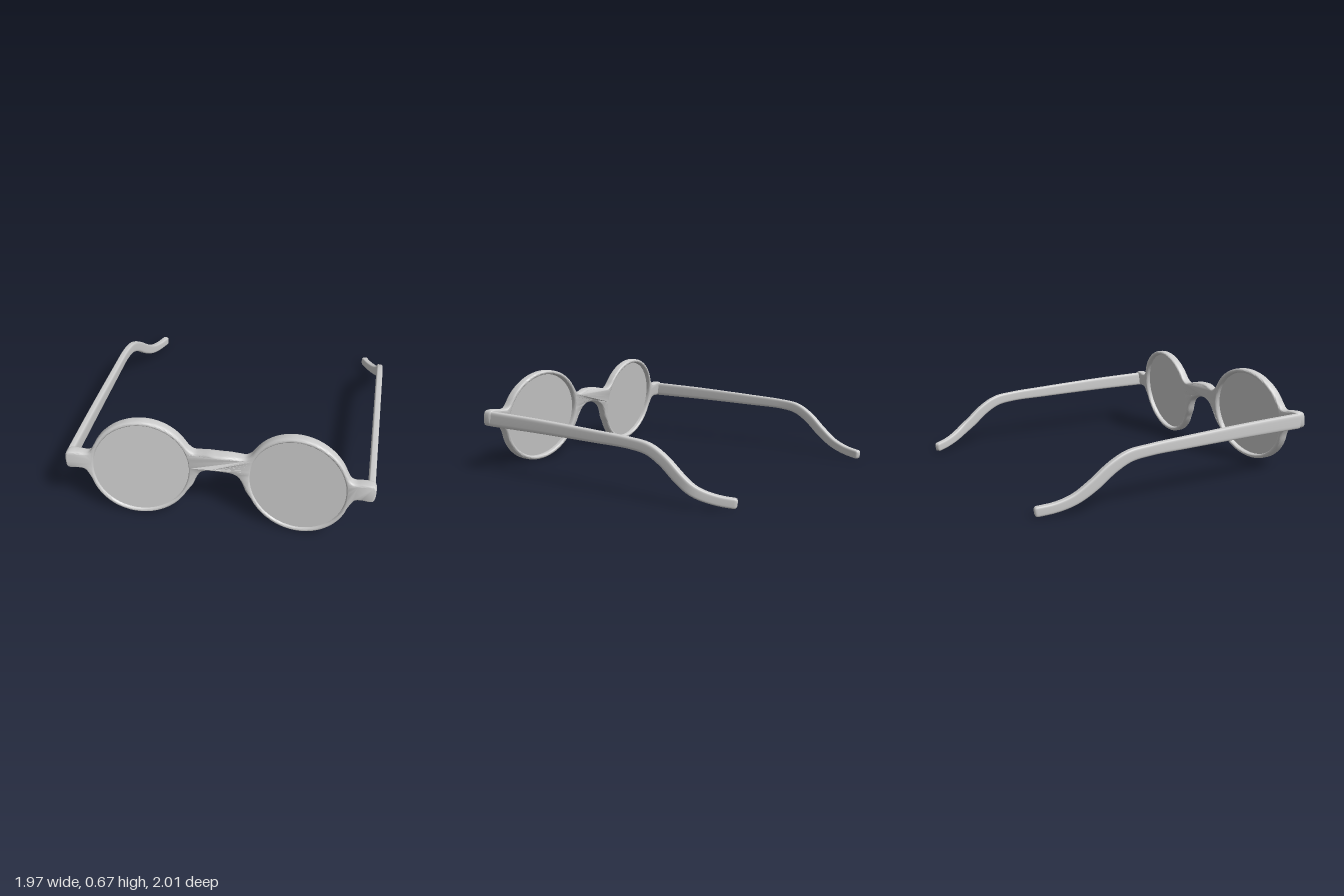
import * as THREE from 'three';
import { toCreasedNormals } from 'three/addons/utils/BufferGeometryUtils.js';

const CX = 0.5, CY = 0.34, OUTER = 0.333, INNER = 0.304;
const material = new THREE.MeshStandardMaterial({ color: 0xcccccc });

function addMesh(group, geometry, name) {
  const mesh = new THREE.Mesh(geometry, material);
  mesh.name = name;
  group.add(mesh);
}

// Lean the flat front back, wrap it around the face and push the bridge forward.
function bend(geometry) {
  const p = geometry.attributes.position;
  for (let i = 0; i < p.count; i++) {
    const x = Math.abs(p.getX(i)), y = p.getY(i);
    const w = x < 0.18 ? (1 + Math.cos(Math.PI * x / 0.18)) / 2 : 0;
    const z = p.getZ(i) * (1 + 0.2 * w);
    p.setZ(i, z + 0.92 + 0.095 * (x - CX) - 0.15 * (y - CY) + 0.042 * w);
  }
  return toCreasedNormals(geometry, 0.9);
}

function circlePoints(cx, r, n) {
  return Array.from({ length: n }, (_, i) => {
    const a = i / n * Math.PI * 2;
    return new THREE.Vector2(cx + r * Math.cos(a), CY + r * Math.sin(a));
  });
}

function frontFrame() {
  // Half outline: bridge top, rim, end piece, rim, bridge underside
  const half = [[0, 0.49], [0.06, 0.488], [0.12, 0.475], [0.165, 0.47], [0.198, 0.492]];
  const arc = (from, to, n) => {
    for (let i = 0; i <= n; i++) {
      const a = THREE.MathUtils.degToRad(from + (to - from) * i / n);
      half.push([CX + OUTER * Math.cos(a), CY + OUTER * Math.sin(a)]);
    }
  };
  arc(145, 23, 14);
  half.push([0.828, 0.436], [0.855, 0.428], [0.9, 0.434], [0.955, 0.436], [0.976, 0.428], [0.983, 0.405],
    [0.98, 0.35], [0.972, 0.328], [0.95, 0.32], [0.9, 0.321], [0.86, 0.312], [0.838, 0.28]);
  arc(-17, -152, 16);
  half.push([0.17, 0.235], [0.145, 0.295], [0.115, 0.342], [0.065, 0.371], [0, 0.38]);
  const mirrored = half.slice(1, -1).reverse().map(([x, y]) => [-x, y]);
  const points = [...half, ...mirrored].map(([x, y]) => new THREE.Vector3(x, y, 0));
  const outline = new THREE.CatmullRomCurve3(points, true).getSpacedPoints(360).slice(0, -1);

  const shape = new THREE.Shape(outline.map(v => new THREE.Vector2(v.x, v.y)));
  for (const s of [-1, 1]) shape.holes.push(new THREE.Path(circlePoints(s * CX, INNER, 96)));
  const geometry = new THREE.ExtrudeGeometry(shape, {
    depth: 0.03, bevelThickness: 0.019, bevelSize: 0.013, bevelOffset: -0.013, bevelSegments: 5,
  });
  geometry.translate(0, 0, -0.015);
  return bend(geometry);
}

function lens(side) {
  const geometry = new THREE.CylinderGeometry(INNER + 0.003, INNER + 0.003, 0.02, 96).toNonIndexed();
  geometry.rotateX(Math.PI / 2).translate(side * CX, CY, 0.012);
  return bend(geometry);
}

// Temple arm: rounded rectangular sections lofted along a path; xAt(z) sets the sideways curve.
function temple(xAt, uEnd) {
  const keys = [[0.957, 0.373, 0.104], [0.5, 0.368, 0.094], [0, 0.355, 0.08], [-0.28, 0.345, 0.072],
    [-0.42, 0.325, 0.075], [-0.53, 0.268, 0.077], [-0.65, 0.172, 0.076], [-0.76, 0.1, 0.068],
    [-0.87, 0.062, 0.063], [-1, 0.043, 0.063]];
  const curve = new THREE.CatmullRomCurve3(keys.map(([z, y, h]) => new THREE.Vector3(h, y, z)));
  const at = u => {
    const k = curve.getPointAt(u);
    return { p: new THREE.Vector3(xAt(k.z), k.y, k.z), h: k.x };
  };
  const tips = [0, 0.0002, 0.001, 0.003, 0.006, 0.01];
  const us = [...tips];
  for (let i = 1; i < 70; i++) us.push(0.01 + (uEnd - 0.02) * i / 70);
  us.push(...tips.map(t => uEnd - t).reverse());

  const N = 32, pos = [], index = [], width = 0.045;
  const round = v => Math.sign(v) * Math.pow(Math.abs(v), 0.45);
  us.forEach((u, i) => {
    const { p, h } = at(u);
    const tangent = at(Math.min(u + 0.004, 1)).p.sub(at(Math.max(u - 0.004, 0)).p).normalize();
    const side = tangent.clone().cross(new THREE.Vector3(0, 1, 0)).normalize();
    const up = side.clone().cross(tangent);
    // Close and round both ends
    const q = Math.min(1, Math.min(u, uEnd - u) / 0.01);
    const scale = Math.cbrt(Math.max(0, 1 - Math.pow(1 - q, 3)));
    for (let j = 0; j < N; j++) {
      const a = j / N * Math.PI * 2;
      const v = p.clone()
        .addScaledVector(side, round(Math.cos(a)) * scale * width / 2)
        .addScaledVector(up, round(Math.sin(a)) * scale * h / 2);
      pos.push(v.x, v.y, v.z);
      if (i < us.length - 1) {
        const b = i * N + j, c = i * N + (j + 1) % N;
        index.push(b, b + N, c, c, b + N, c + N);
      }
    }
  });
  const geometry = new THREE.BufferGeometry();
  geometry.setAttribute('position', new THREE.Float32BufferAttribute(pos, 3));
  geometry.setIndex(index);
  geometry.computeVertexNormals();
  return geometry;
}

export function createModel() {
  const group = new THREE.Group();
  group.name = 'spectacles';
  addMesh(group, frontFrame(), 'frontFrame');
  addMesh(group, lens(1), 'leftLens');
  addMesh(group, lens(-1), 'rightLens');

  // Left arm kinks inward near its tip; right arm curves in gradually.
  const leftX = z => 0.953 - 0.5 * 0.02 * Math.log(1 + Math.exp((-0.725 - z) / 0.02));
  const rightX = z => -0.963 + 0.13 * Math.pow(Math.max(0, (-0.25 - z) / 0.75), 1.7);
  addMesh(group, temple(leftX, 0.985), 'leftTemple');
  addMesh(group, temple(rightX, 1), 'rightTemple');
  return group;
}
